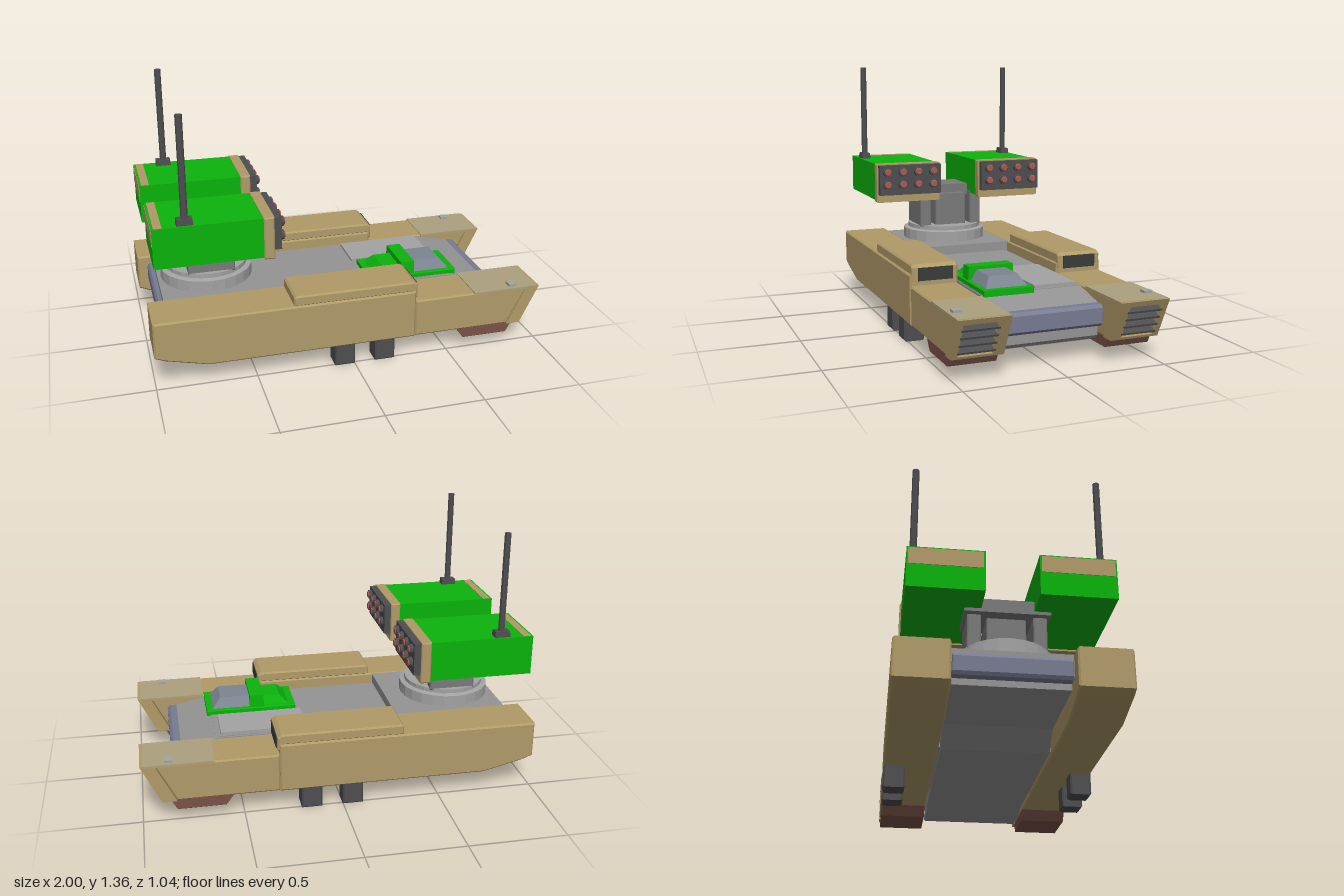
import * as THREE from 'three';

const paint = (color) => new THREE.MeshStandardMaterial({ color, flatShading: true });
const TAN = paint(0xb09a68), PALE = paint(0xaca07c), GREEN = paint(0x0bb30c), DARK = paint(0x4e4e50),
  GREY = paint(0x949494), LIGHT = paint(0xa3a3a3), STEEL = paint(0x7a7a7a), BLUE = paint(0x787b92),
  BROWN = paint(0x7a5248), RED = paint(0xa85a50), BLACK = paint(0x3a3c3c), GLASS = paint(0x7c8590);

function add(parent, name, geo, mat) {
  const m = new THREE.Mesh(geo, mat);
  m.name = name;
  parent.add(m);
  return m;
}

// Box given by its limits; taper = inset of the top face as [rear, front, sides]
function box(parent, name, mat, [x0, x1], [y0, y1], [z0, z1], taper) {
  const geo = new THREE.BoxGeometry(x1 - x0, y1 - y0, z1 - z0);
  geo.translate((x0 + x1) / 2, (y0 + y1) / 2, (z0 + z1) / 2);
  if (taper) {
    const p = geo.attributes.position, midX = (x0 + x1) / 2, midZ = (z0 + z1) / 2;
    for (let i = 0; i < p.count; i++) {
      if (p.getY(i) < (y0 + y1) / 2) continue;
      p.setX(i, p.getX(i) + (p.getX(i) < midX ? taper[0] : -taper[1]));
      p.setZ(i, p.getZ(i) + (p.getZ(i) < midZ ? taper[2] : -taper[2]));
    }
    geo.computeVertexNormals();
  }
  return add(parent, name, geo, mat);
}

// Side profile (x, y) extruded across z with a small bevel inside the given limits
function slab(parent, name, mat, pts, z0, z1, b = 0.008) {
  const geo = new THREE.ExtrudeGeometry(new THREE.Shape(pts.map((p) => new THREE.Vector2(...p))), {
    depth: z1 - z0 - 2 * b, bevelEnabled: true, bevelThickness: b, bevelSize: b, bevelOffset: -b, bevelSegments: 1,
  });
  geo.translate(0, 0, z0 + b);
  return add(parent, name, geo, mat);
}

// Leaning frame with a rectangular opening, facing +x
function noseFrame(parent, depth) {
  const rect = (P, a, b, c, d) => {
    const s = new P();
    s.moveTo(a, c); s.lineTo(b, c); s.lineTo(b, d); s.lineTo(a, d); s.closePath();
    return s;
  };
  const shape = rect(THREE.Shape, -0.52, -0.268, 0.11, 0.312);
  shape.holes.push(rect(THREE.Path, -0.49, -0.322, 0.122, 0.286));
  const geo = new THREE.ExtrudeGeometry(shape, { depth, bevelEnabled: false });
  geo.rotateY(Math.PI / 2);
  const p = geo.attributes.position;
  for (let i = 0; i < p.count; i++) p.setX(i, p.getX(i) + 0.9 - depth + (p.getY(i) - 0.11) * 0.495);
  geo.computeVertexNormals();
  add(parent, 'noseFrame', geo, TAN);
}

// Pontoon on the +z side
function pontoon() {
  const g = new THREE.Group();
  slab(g, 'rearHull', TAN, [[-1, 0.365], [-1, 0.18], [-0.95, 0.16], [-0.74, 0.11], [0.32, 0.11], [0.32, 0.365]], 0.27, 0.52);
  slab(g, 'frontHull', TAN, [[0.32, 0.31], [0.32, 0.112], [0.83, 0.112], [0.93, 0.31]], 0.273, 0.517);
  box(g, 'nosePlate', PALE, [0.64, 0.985], [0.302, 0.314], [0.27, 0.52]);
  noseFrame(g, 0.07);
  // louvers inside the nose opening
  const back = box(g, 'grilleBack', BLACK, [-0.005, 0.005], [-0.095, 0.095], [0.31, 0.5]);
  back.position.set(0.89, 0.208, 0);
  back.rotation.z = -0.456;
  for (let i = 0; i < 4; i++) {
    const y = 0.146 + i * 0.039;
    const l = box(g, 'louver', DARK, [-0.02, 0.02], [-0.005, 0.005], [0.315, 0.495]);
    l.position.set(0.882 + (y - 0.11) * 0.495, y, 0);
    l.rotation.z = -0.35;
  }
  box(g, 'noseStud', LIGHT, [0.84, 0.88], [0.312, 0.326], [0.457, 0.5]);
  // raised engine cover with dark intake
  slab(g, 'engineCover', TAN, [[-0.31, 0.36], [-0.31, 0.405], [-0.3, 0.415], [0.31, 0.415], [0.33, 0.4], [0.33, 0.33], [0.3, 0.33], [0.3, 0.36]], 0.275, 0.512);
  box(g, 'intake', BLACK, [0.31, 0.335], [0.335, 0.4], [0.303, 0.482]);
  slab(g, 'skid', BROWN, [[0.55, 0.115], [0.59, 0.06], [0.83, 0.06], [0.86, 0.115]], 0.275, 0.512, 0.002);
  for (const x of [-0.05, 0.16]) slab(g, 'foot', DARK, [[x - 0.052, 0], [x + 0.052, 0], [x + 0.052, 0.13], [x - 0.052, 0.13]], 0.413, 0.518);
  return g;
}

// Launcher pod on the +z side
function pod() {
  const g = new THREE.Group();
  box(g, 'podBody', GREEN, [-0.97, -0.44], [0.626, 0.828], [0.122, 0.474]);
  box(g, 'podTopStrip', TAN, [-0.96, -0.92], [0.82, 0.83], [0.126, 0.47]);
  box(g, 'podRearPanel', TAN, [-0.973, -0.96], [0.74, 0.822], [0.13, 0.467]);
  slab(g, 'podCollar', TAN, [[-0.445, 0.618], [-0.393, 0.618], [-0.393, 0.832], [-0.445, 0.832]], 0.115, 0.482, 0.006);
  box(g, 'tubeBlock', DARK, [-0.4, -0.358], [0.662, 0.826], [0.123, 0.474]);
  for (let i = 0; i < 8; i++) {
    const y = 0.72 + 0.07 * (i >> 2), z = 0.168 + 0.088 * (i % 4);
    const rim = add(g, 'tubeRim', new THREE.CylinderGeometry(0.024, 0.026, 0.018, 12), DARK);
    const tip = add(g, 'missileTip', new THREE.CylinderGeometry(0.016, 0.02, 0.006, 12), RED);
    rim.position.set(-0.35, y, z);
    tip.position.set(-0.338, y, z);
    rim.rotation.z = tip.rotation.z = -Math.PI / 2;
  }
  box(g, 'antennaBase', DARK, [-0.853, -0.773], [0.825, 0.858], [0.415, 0.465], [0.003, 0.003, 0.003]);
  const rod = add(g, 'antenna', new THREE.CylinderGeometry(0.017, 0.017, 0.5, 8), DARK);
  rod.position.set(-0.812, 1.105, 0.44);
  return g;
}

export function createModel() {
  const model = new THREE.Group();
  model.name = 'missileCarrier';

  // Pontoons and pods, mirrored across z
  for (const [name, make] of [['pontoon', pontoon], ['launcherPod', pod]]) {
    for (const s of [1, -1]) {
      const g = make();
      g.name = name + (s > 0 ? 'Near' : 'Far');
      g.scale.z = s;
      model.add(g);
    }
  }

  // Central hull between the pontoons
  const hull = new THREE.Group();
  hull.name = 'centralHull';
  model.add(hull);
  slab(hull, 'lowerHull', GREY, [[-0.9, 0.29], [-0.9, 0.2], [-0.45, 0.2], [-0.35, 0.115], [0.54, 0.115], [0.6, 0.09], [0.77, 0.09], [0.79, 0.11], [0.79, 0.27], [0.61, 0.31], [0.3, 0.31], [0.3, 0.29]], -0.262, 0.262, 0.004);
  box(hull, 'innerFill', GREY, [-0.33, 0.3], [0.13, 0.29], [-0.275, 0.275]);
  box(hull, 'mainDeck', GREY, [-0.34, 0.61], [0.26, 0.312], [-0.26, 0.26]);
  box(hull, 'rearPlatform', GREY, [-0.92, -0.33], [0.25, 0.362], [-0.272, 0.272]);
  slab(hull, 'frontBumper', BLUE, [[0.77, 0.165], [0.825, 0.165], [0.84, 0.18], [0.84, 0.255], [0.825, 0.27], [0.77, 0.27]], -0.262, 0.262, 0.004);
  slab(hull, 'rearBumper', BLUE, [[-0.9, 0.23], [-0.94, 0.23], [-0.95, 0.245], [-0.95, 0.315], [-0.94, 0.33], [-0.9, 0.33]], -0.262, 0.262, 0.004);
  box(hull, 'deckHatch', LIGHT, [0.14, 0.585], [0.31, 0.325], [-0.245, -0.025]);

  // Off-centre cab
  const cab = new THREE.Group();
  cab.name = 'cab';
  model.add(cab);
  slab(cab, 'cabBase', GREEN, [[0.16, 0.298], [0.637, 0.298], [0.637, 0.335], [0.16, 0.335]], 0.002, 0.257, 0.004);
  box(cab, 'cabRear', GREEN, [0.19, 0.34], [0.33, 0.375], [0.025, 0.232], [0.05, 0, 0.03]);
  box(cab, 'cabRoof', GREEN, [0.328, 0.405], [0.33, 0.402], [0.008, 0.25], [0.004, 0, 0.004]);
  box(cab, 'windshield', GLASS, [0.4, 0.605], [0.333, 0.386], [0.022, 0.236], [0, 0.045, 0.032]);

  // Turret
  const turret = new THREE.Group();
  turret.name = 'turret';
  model.add(turret);
  const ring = [[0, 0.36], [0.238, 0.36], [0.238, 0.42], [0.212, 0.426], [0.212, 0.448], [0, 0.448]];
  add(turret, 'turretRing', new THREE.LatheGeometry(ring.map((p) => new THREE.Vector2(...p)), 24), LIGHT).position.x = -0.665;
  for (const s of [1, -1]) {
    const z = s * 0.152;
    slab(turret, 'pillar', STEEL, [[-0.78, 0.44], [-0.54, 0.44], [-0.54, 0.64], [-0.78, 0.64]], z - 0.032, z + 0.032, 0.006);
  }
  slab(turret, 'mountBlock', STEEL, [[-0.75, 0.44], [-0.54, 0.44], [-0.54, 0.628], [-0.75, 0.628]], -0.092, 0.092, 0.006);
  slab(turret, 'crossBeam', STEEL, [[-0.81, 0.61], [-0.595, 0.61], [-0.595, 0.676], [-0.81, 0.676]], -0.2, 0.2, 0.006);
  return model;
}
